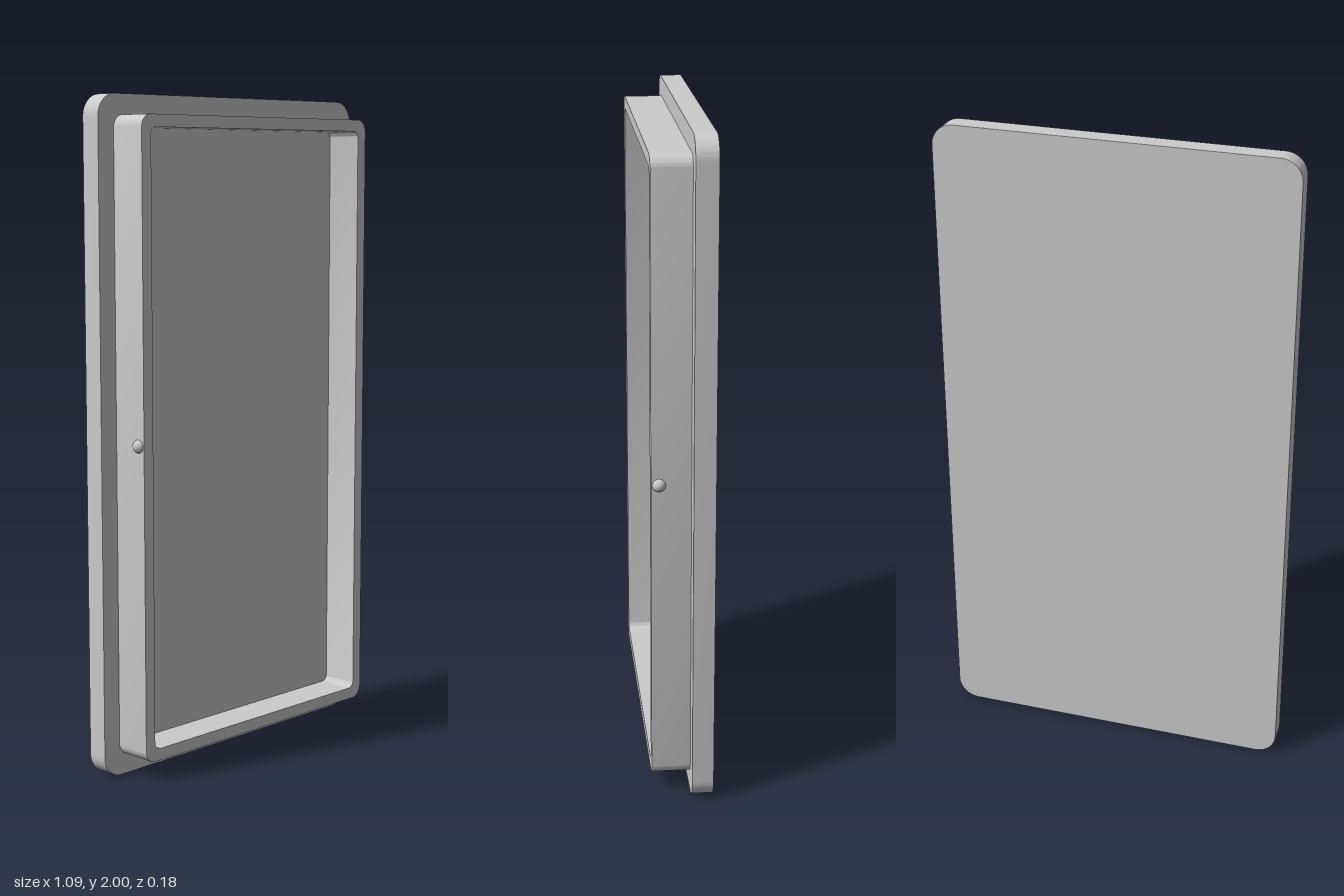
import * as THREE from 'three';
import { toCreasedNormals } from 'three/addons/utils/BufferGeometryUtils.js';

const MID_Y = 1;
const SEAM_Z = -0.026;

// Traces a rounded rectangle centred on the origin
function roundedRect(path, halfW, halfH, r) {
  path.moveTo(halfW, -halfH + r);
  path.absarc(halfW - r, halfH - r, r, 0, Math.PI / 2);
  path.absarc(-halfW + r, halfH - r, r, Math.PI / 2, Math.PI);
  path.absarc(-halfW + r, -halfH + r, r, Math.PI, Math.PI * 1.5);
  path.absarc(halfW - r, -halfH + r, r, Math.PI * 1.5, Math.PI * 2);
  path.closePath();
  return path;
}

export function createModel() {
  const model = new THREE.Group();
  model.name = 'lidPanel';
  const material = new THREE.MeshStandardMaterial({ color: 0xcccccc });

  function add(name, geometry, x, y, z) {
    const mesh = new THREE.Mesh(geometry, material);
    mesh.name = name;
    mesh.position.set(x, y, z);
    model.add(mesh);
  }
  const slab = (shape, depth) => toCreasedNormals(
    new THREE.ExtrudeGeometry(shape, { depth, bevelEnabled: false, curveSegments: 10 }), 0.6);

  // Flat back plate
  const plate = roundedRect(new THREE.Shape(), 0.544, 1, 0.065);
  add('backPlate', slab(plate, 0.064), 0, MID_Y, -0.09);

  // Raised rim around the open recess
  const rim = roundedRect(new THREE.Shape(), 0.485, 0.941, 0.037);
  rim.holes.push(roundedRect(new THREE.Path(), 0.449, 0.905, 0.02));
  add('rim', slab(rim, 0.09 - SEAM_Z), 0, MID_Y, SEAM_Z);

  // Snap bumps on both sides of the rim
  for (const [name, side] of [['leftSnapBump', 1], ['rightSnapBump', -1]]) {
    add(name, new THREE.SphereGeometry(0.02, 24, 16), side * 0.481, MID_Y, 0.067);
  }
  return model;
}
